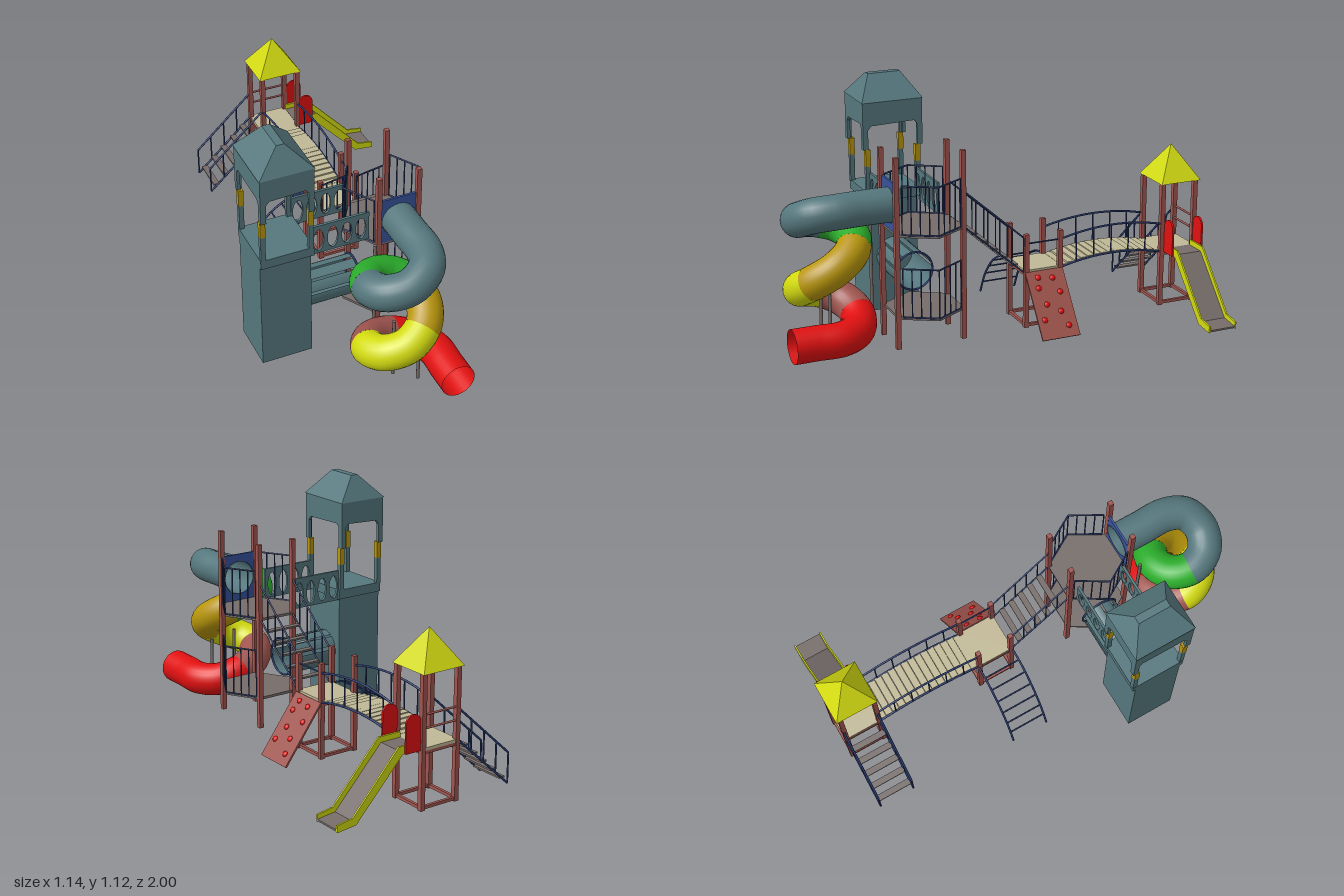
import * as THREE from 'three';

const V = (x, y, z) => new THREE.Vector3(x, y, z);
const paint = (name, color) => {
  const m = new THREE.MeshStandardMaterial({ color, side: THREE.DoubleSide });
  m.name = name;
  return m;
};

export function createModel() {
  const slate = paint('slate', 0x55777d), red = paint('red', 0xe01010), green = paint('green', 0x2bad2b);
  const mustard = paint('mustard', 0xb8960c), yellow = paint('yellow', 0xd2da10), brick = paint('brick', 0xa0554f);
  const grey = paint('grey', 0x766d6a), beige = paint('beige', 0xc0b896), navy = paint('navy', 0x2a3c70), blue = paint('blue', 0x37529a);
  const root = new THREE.Group();
  root.name = 'playground';

  const add = (name, geo, mat) => {
    const m = new THREE.Mesh(geo, mat);
    m.name = name;
    root.add(m);
    return m;
  };
  // box given by its limits
  const box = (name, mat, x0, x1, y0, y1, z0, z1) =>
    add(name, new THREE.BoxGeometry(x1 - x0, y1 - y0, z1 - z0), mat)
      .position.set((x0 + x1) / 2, (y0 + y1) / 2, (z0 + z1) / 2);
  // round bar between two points
  const bar = (name, mat, p, q, r = 0.004) => {
    const d = q.clone().sub(p);
    const m = add(name, new THREE.CylinderGeometry(r, r, d.length(), 8), mat);
    m.position.copy(p).lerp(q, 0.5);
    m.quaternion.setFromUnitVectors(V(0, 1, 0), d.normalize());
  };
  // railing of height h with n gaps standing on the line p-q
  const railing = (p, q, h, n, r = 0.004) => {
    const up = V(0, h, 0);
    bar('railBottom', navy, p, q, r);
    bar('railTop', navy, p.clone().add(up), q.clone().add(up), r);
    for (let i = 0; i <= n; i++) {
      const a = p.clone().lerp(q, i / n);
      bar('railBar', navy, a, a.clone().add(up), r * 0.8);
    }
  };
  const polygon = pts => new THREE.Shape(pts.map(([x, y]) => new THREE.Vector2(x, y)));
  const extrude = (shape, depth) =>
    new THREE.ExtrudeGeometry(shape, { depth, bevelEnabled: false, curveSegments: 24 });
  // four-sided tapered roof
  const roof = (name, mat, x, z, y0, y1, bx, bz, tx, tz) => {
    const g = new THREE.CylinderGeometry(1, 1, y1 - y0, 4, 1).rotateY(Math.PI / 4).toNonIndexed();
    const p = g.attributes.position;
    for (let i = 0; i < p.count; i++) {
      const top = p.getY(i) > 0, s = v => (Math.abs(v) < 0.1 ? 0 : Math.sign(v));
      p.setX(i, s(p.getX(i)) * (top ? tx : bx));
      p.setZ(i, s(p.getZ(i)) * (top ? tz : bz));
    }
    g.computeVertexNormals();
    add(name, g, mat).position.set(x, (y0 + y1) / 2, z);
  };

  // large tower
  const tx = -0.448, tz = 0.35, hx = 0.122, hz = 0.145;
  box('towerBody', slate, -0.57, -0.334, 0, 0.55, 0.233, 0.467);
  box('towerFloor', slate, -0.57, -0.324, 0.54, 0.585, 0.22, 0.48);
  roof('towerRoof', slate, tx, tz, 1.01, 1.12, hx + 0.003, hz + 0.003, 0.018, 0.078);
  for (const sx of [-1, 1]) for (const sz of [-1, 1]) {
    const x = tx + sx * 0.11, z = tz + sz * 0.122;
    box('towerPost', slate, x - 0.011, x + 0.011, 0.58, 0.71, z - 0.011, z + 0.011);
    box('towerPostSleeve', mustard, x - 0.012, x + 0.012, 0.71, 0.79, z - 0.012, z + 0.012);
  }
  const skirt = w => extrude(polygon([[-w, 0.79], [-w, 1.01], [w, 1.01], [w, 0.79], [w - 0.025, 0.79],
    [w - 0.025, 0.89], [w - 0.04, 0.907], [-w + 0.04, 0.9], [-w + 0.025, 0.88], [-w + 0.025, 0.79]]), 0.015);
  for (const s of [0, 1]) {
    add('towerSkirt', skirt(hx), slate).position.set(tx, 0, s ? tz + hz - 0.015 : tz - hz);
    const m = add('towerSkirt', skirt(hz), slate);
    m.rotation.y = Math.PI / 2;
    m.position.set(s ? tx + hx - 0.015 : tx - hx, 0, tz);
  }

  // barrel tunnel with slatted top
  const shell = (start, len) => {
    const m = add('barrelTunnel', new THREE.CylinderGeometry(0.088, 0.088, 0.255, 20, 1, true, start, len).rotateZ(Math.PI / 2), slate);
    m.position.set(-0.207, 0.267, 0.35);
  };
  shell(Math.PI * 0.95, Math.PI * 1.1);
  for (let i = 0; i < 4; i++) shell(Math.PI * (0.09 + i * 0.21), Math.PI * 0.175);
  add('barrelRing', new THREE.TorusGeometry(0.09, 0.005, 6, 32).rotateY(Math.PI / 2), navy).position.set(-0.082, 0.267, 0.35);

  // upper bridge side panels with oval holes
  for (const z of [0.23, 0.455]) {
    const s = polygon([[-0.33, 0.535], [-0.06, 0.535], [-0.06, 0.68], [-0.33, 0.68]]);
    for (let i = 0; i < 4; i++) {
      s.holes.push(new THREE.Path().absellipse(-0.297 + i * 0.066, 0.603, 0.024, 0.055, 0, Math.PI * 2));
    }
    add('bridgePanel', extrude(s, 0.012), slate).position.z = z;
  }

  // hexagonal tower
  const hex = [[-0.04, 0.2], [0.145, 0.2], [0.235, 0.355], [0.145, 0.515], [-0.04, 0.515], [-0.135, 0.355]];
  for (const y of [0.138, 0.522]) {
    add('hexDeck', extrude(polygon(hex.map(([x, z]) => [x, -z])), 0.012).rotateX(-Math.PI / 2), grey).position.y = y;
  }
  for (const x of [-0.04, 0.146]) for (const z of [0.203, 0.518]) {
    box('hexPost', brick, x - 0.011, x + 0.011, 0, 0.885, z - 0.011, z + 0.011);
  }
  const hexRail = (i, j, y, h) => {
    const a = V(hex[i][0], y, hex[i][1]), b = V(hex[j][0], y, hex[j][1]);
    railing(a.clone().lerp(b, 0.12), b, h, 4);
  };
  for (const [i, j] of [[1, 2], [3, 2], [0, 5], [4, 5]]) hexRail(i, j, 0.535, 0.222);
  for (const [i, j] of [[1, 2], [3, 2]]) hexRail(i, j, 0.15, 0.227);
  const entry = polygon([[-0.03, 0.535], [0.135, 0.535], [0.135, 0.76], [-0.03, 0.76]]);
  entry.holes.push(new THREE.Path().absarc(0.055, 0.645, 0.079, 0, Math.PI * 2));
  add('tubeEntryPanel', extrude(entry, 0.01), blue).position.z = 0.508;

  // spiral tube slide, one path split into coloured sections
  const heights = [0.645, 0.63, 0.59, 0.56, 0.535, 0.51, 0.48, 0.44, 0.385, 0.325, 0.27, 0.23, 0.2, 0.165, 0.125, 0.09, 0.08];
  const pts = [V(0.055, 0.648, 0.505), V(0.055, 0.648, 0.64)];
  heights.forEach((y, i) => {
    const a = i * Math.PI / 4, cx = -0.07 + 0.065 * Math.max(0, (i - 12) / 4);
    pts.push(V(cx + 0.125 * Math.cos(a), y, 0.768 + 0.123 * Math.sin(a)));
  });
  pts.push(V(0.12, 0.08, 0.89), V(0.12, 0.08, 1.0));
  const path = new THREE.CatmullRomCurve3(pts);
  class Section extends THREE.Curve {
    constructor(a, b) { super(); this.a = a; this.b = b; }
    getPoint(t, target = new THREE.Vector3()) {
      return path.getPoint((this.a + (this.b - this.a) * t) / (pts.length - 1), target);
    }
  }
  [[0, 6.1, slate], [6.1, 8.7, green], [8.7, 11.2, mustard], [11.2, 14.1, yellow], [14.1, 16, brick], [16, 20, red]]
    .forEach(([a, b, mat]) => add('tubeSlide', new THREE.TubeGeometry(new Section(a, b), 36, 0.079, 24), mat));
  for (const [x, z, h] of [[-0.075, 0.76, 0.3], [0.012, 0.83, 0.32], [-0.075, 0.56, 0.57]]) {
    bar('slidePole', grey, V(x, 0, z), V(x, h, z), 0.008);
  }

  // stairs from the hexagonal tower to the middle deck
  for (const x of [-0.037, 0.142]) railing(V(x, 0.27, -0.095), V(x, 0.53, 0.2), 0.165, 5);
  for (let i = 0; i < 5; i++) {
    const z = -0.055 + i * 0.05, y = 0.31 + i * 0.044;
    box('stairTread', grey, -0.036, 0.14, y - 0.004, y + 0.004, z - 0.013, z + 0.015);
  }

  // middle and rear square towers
  const squareTower = (z0, z1, h) => {
    for (const x of [-0.038, 0.144]) for (const z of [z0, z1]) {
      box('squarePost', brick, x - 0.011, x + 0.011, 0, h, z - 0.011, z + 0.011);
    }
    for (const y of [0.004, 0.25]) {
      for (const z of [z0, z1]) box('frameBeam', brick, -0.038, 0.144, y, y + 0.014, z - 0.007, z + 0.007);
      for (const x of [-0.038, 0.144]) box('frameBeam', brick, x - 0.007, x + 0.007, y, y + 0.014, z1, z0);
    }
    box('squareDeck', beige, -0.042, 0.148, 0.264, 0.278, z1 - 0.008, z0 + 0.008);
  };
  squareTower(-0.108, -0.277, 0.45);
  squareTower(-0.808, -0.978, 0.6);
  roof('rearRoof', yellow, 0.053, -0.897, 0.6, 0.76, 0.108, 0.103, 0.001, 0.001);
  bar('middleRail', navy, V(0.144, 0.405, -0.108), V(0.144, 0.405, -0.277));
  for (const y of [0.36, 0.42]) bar('rearRail', brick, V(-0.038, y, -0.978), V(0.144, y, -0.978), 0.005);

  // climbing wall with holds
  const wall = new THREE.Group();
  wall.name = 'climbingWall';
  wall.position.set(0.247, 0.137, -0.193);
  wall.rotation.z = -Math.atan2(0.265, 0.195);
  root.add(wall);
  const board = new THREE.Mesh(new THREE.BoxGeometry(0.325, 0.009, 0.188), brick);
  board.name = 'wallBoard';
  wall.add(board);
  for (const [u, z] of [[-0.12, -0.03], [-0.08, 0.05], [-0.05, -0.05], [0, 0.03], [0.04, -0.03], [0.07, 0.06], [0.11, -0.05], [-0.13, 0.04]]) {
    const hold = new THREE.Mesh(new THREE.SphereGeometry(0.014, 10, 6), red);
    hold.name = 'wallHold';
    hold.scale.y = 0.6;
    hold.position.set(u, 0.006, z);
    wall.add(hold);
  }

  // curved ladder
  const arc = [-0.102, -0.283].map(z => new THREE.CatmullRomCurve3(
    [V(-0.04, 0.272, z), V(-0.12, 0.262, z), V(-0.22, 0.205, z), V(-0.31, 0.105, z), V(-0.365, 0, z)]));
  for (const c of arc) add('ladderRail', new THREE.TubeGeometry(c, 20, 0.005, 8), navy);
  for (let i = 1; i < 7; i++) bar('ladderRung', navy, arc[0].getPointAt(i / 7), arc[1].getPointAt(i / 7), 0.004);

  // arched plank bridge
  const archY = z => 0.27 + 0.033 * (1 - ((z + 0.543) / 0.265) ** 2);
  for (let i = 0; i < 15; i++) {
    const z = -0.3 - i * 0.0348;
    box('bridgePlank', beige, -0.036, 0.142, archY(z) - 0.006, archY(z) + 0.004, z - 0.0165, z + 0.0165);
  }
  for (const x of [-0.04, 0.146]) {
    for (const h of [-0.002, 0.135]) {
      const c = new THREE.CatmullRomCurve3([-0.28, -0.36, -0.45, -0.54, -0.63, -0.72, -0.805].map(z => V(x, archY(z) + h, z)));
      add('bridgeRail', new THREE.TubeGeometry(c, 24, 0.005, 8), navy);
    }
    for (let z = -0.36; z > -0.75; z -= 0.09) bar('bridgeBar', navy, V(x, archY(z), z), V(x, archY(z) + 0.135, z), 0.0035);
  }

  // rear stairs
  for (const z of [-0.808, -0.982]) railing(V(-0.33, 0.008, z), V(-0.045, 0.27, z), 0.14, 4, 0.005);
  for (let i = 0; i < 5; i++) {
    const x = -0.3 + i * 0.053, y = 0.04 + i * 0.049;
    box('rearTread', grey, x - 0.015, x + 0.015, y - 0.004, y + 0.004, -0.98, -0.81);
  }

  // straight slide with arched guards
  const side = polygon([[0.145, 0.27], [0.24, 0.268], [0.475, 0.018], [0.57, 0.008], [0.57, 0.04], [0.492, 0.052], [0.26, 0.305], [0.145, 0.305]]);
  const bed = polygon([[0.145, 0.272], [0.243, 0.272], [0.477, 0.022], [0.57, 0.012], [0.57, 0.02], [0.481, 0.03], [0.247, 0.28], [0.145, 0.28]]);
  const guard = new THREE.Shape().moveTo(0.155, 0.268).lineTo(0.232, 0.268).lineTo(0.232, 0.395)
    .absarc(0.1935, 0.395, 0.0385, 0, Math.PI).lineTo(0.155, 0.268);
  for (const z of [-0.835, -0.97]) add('slideSide', extrude(side, 0.008), yellow).position.z = z;
  for (const z of [-0.826, -0.98]) add('slideGuard', extrude(guard, 0.009), red).position.z = z;
  add('slideBed', extrude(bed, 0.128), grey).position.z = -0.963;

  return root;
}
